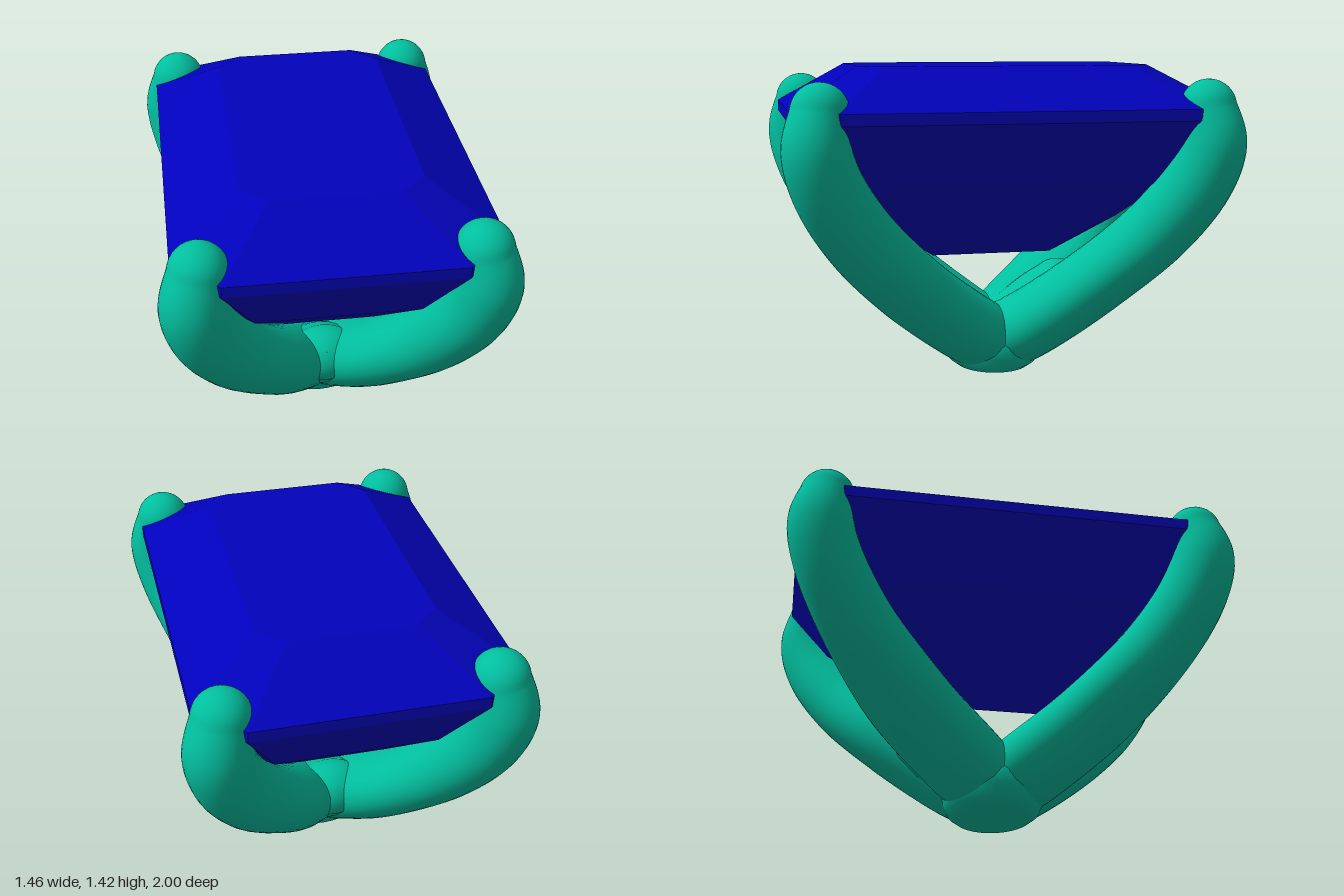
import * as THREE from 'three';

const V = (x, y, z) => new THREE.Vector3(x, y, z);

// Step-cut stone: chamfered rectangles stacked from the keel up to the table.
function gemGeometry() {
  const levels = [ // height, inset from the girdle
    [0.53, 0.675], [0.72, 0.41], [0.91, 0.19], [1.19, 0], [1.24, 0], [1.42, 0.3],
  ];
  const loops = levels.map(([y, inset]) => {
    const x = 0.675 - inset, z = 0.957 - inset, c = 0.19 * (x / 0.675);
    return [[x, z - c], [x - c, z], [c - x, z], [-x, z - c],
      [-x, c - z], [c - x, -z], [x - c, -z], [x, c - z]].map(([px, pz]) => [px, y, pz]);
  });
  const pos = [];
  const tri = (a, b, c) => pos.push(...a, ...b, ...c);
  for (let k = 0; k < loops.length - 1; k++) {
    for (let i = 0; i < 8; i++) {
      const j = (i + 1) % 8, lo = loops[k], hi = loops[k + 1];
      tri(lo[i], hi[i], hi[j]);
      tri(lo[i], hi[j], lo[j]);
    }
  }
  const top = loops[loops.length - 1];
  for (let i = 1; i < 7; i++) tri(top[0], top[i + 1], top[i]);
  const geo = new THREE.BufferGeometry();
  geo.setAttribute('position', new THREE.Float32BufferAttribute(pos, 3));
  geo.computeVertexNormals();
  return geo;
}

// Oval sections swept along a curve with a round tip, never below the ground.
// Each station is [x, y, z, half width, half thickness]; sx and sz mirror it.
function sweepGeometry(stations, side, sx, sz) {
  const path = new THREE.CatmullRomCurve3(stations.map(([x, y, z]) => V(x, y, z)));
  const size = new THREE.CatmullRomCurve3(stations.map(([, , , a, b]) => V(a, b, 0)));
  const N = 48, CAP = 10, SEG = 36, pos = [], idx = [];
  const ring = (c, t, a, b) => {
    const lat = side.clone().addScaledVector(t, -side.dot(t)).normalize();
    const out = t.clone().cross(lat);
    for (let i = 0; i < SEG; i++) {
      const u = (i / SEG) * Math.PI * 2;
      const p = c.clone().addScaledVector(lat, a * Math.cos(u)).addScaledVector(out, b * Math.sin(u));
      pos.push(p.x * sx, Math.max(p.y, 0), p.z * sz);
    }
  };
  // closed root
  ring(path.getPoint(0), path.getTangent(0), 0.0005, 0.0005);
  for (let k = 0; k <= N; k++) {
    const s = size.getPoint(k / N);
    ring(path.getPoint(k / N), path.getTangent(k / N), s.x, s.y);
  }
  // rounded tip
  const end = path.getPoint(1), dir = path.getTangent(1), s = size.getPoint(1);
  for (let k = 1; k <= CAP; k++) {
    const q = (k / CAP) * Math.PI / 2, w = Math.max(Math.cos(q), 0.004);
    ring(end.clone().addScaledVector(dir, s.y * Math.sin(q)), dir, s.x * w, s.y * w);
  }
  const rows = pos.length / 3 / SEG, flip = sx * sz < 0;
  for (let k = 0; k < rows - 1; k++) {
    for (let i = 0; i < SEG; i++) {
      const j = (i + 1) % SEG;
      const a = k * SEG + i, b = k * SEG + j, c = a + SEG, d = b + SEG;
      if (flip) idx.push(a, d, b, a, c, d);
      else idx.push(a, b, d, a, d, c);
    }
  }
  const geo = new THREE.BufferGeometry();
  geo.setAttribute('position', new THREE.Float32BufferAttribute(pos, 3));
  geo.setIndex(idx);
  geo.computeVertexNormals();
  return geo;
}

export function createModel() {
  const model = new THREE.Group();
  model.name = 'gemSetting';
  const add = (geo, mat, name) => {
    const mesh = new THREE.Mesh(geo, mat);
    mesh.name = name;
    model.add(mesh);
    return mesh;
  };

  add(gemGeometry(), new THREE.MeshStandardMaterial({ color: 0x0202bc, flatShading: true }), 'gem');

  const metal = new THREE.MeshStandardMaterial({ color: 0x02bf9f });

  // Four claws, curling in slightly at the tips
  const claw = [
    [0.06, 0.14, 0.04, 0.2, 0.16], [0.14, 0.225, 0.165, 0.22, 0.163],
    [0.265, 0.43, 0.42, 0.222, 0.16], [0.442, 0.7, 0.672, 0.172, 0.158],
    [0.552, 0.93, 0.812, 0.152, 0.153], [0.587, 1.09, 0.857, 0.144, 0.144],
    [0.564, 1.242, 0.838, 0.123, 0.123],
  ];
  // Webs filling the valley between the two claws of each end
  const web = [
    [0, 0.13, 0.02, 0.2, 0.15], [0, 0.22, 0.15, 0.19, 0.15],
    [0, 0.3, 0.25, 0.18, 0.145], [0, 0.36, 0.325, 0.17, 0.13],
  ];
  for (const sz of [1, -1]) {
    const end = sz > 0 ? 'front' : 'back';
    add(sweepGeometry(web, V(1, 0, 0), 1, sz), metal, end + 'Web');
    for (const sx of [1, -1]) {
      add(sweepGeometry(claw, V(0.88, 0, -0.47), sx, sz), metal,
        end + (sx > 0 ? 'Left' : 'Right') + 'Prong');
    }
  }

  // Flat foot where the claws join
  const profile = [[0, 0], [0.17, 0], [0.21, 0.005], [0.25, 0.03], [0.28, 0.08],
    [0.29, 0.14], [0.26, 0.21], [0.16, 0.26], [0, 0.28]];
  const foot = new THREE.LatheGeometry(profile.map(([r, y]) => new THREE.Vector2(r, y)), 40);
  foot.scale(1, 1, 0.82);
  add(foot, metal, 'foot');
  return model;
}
